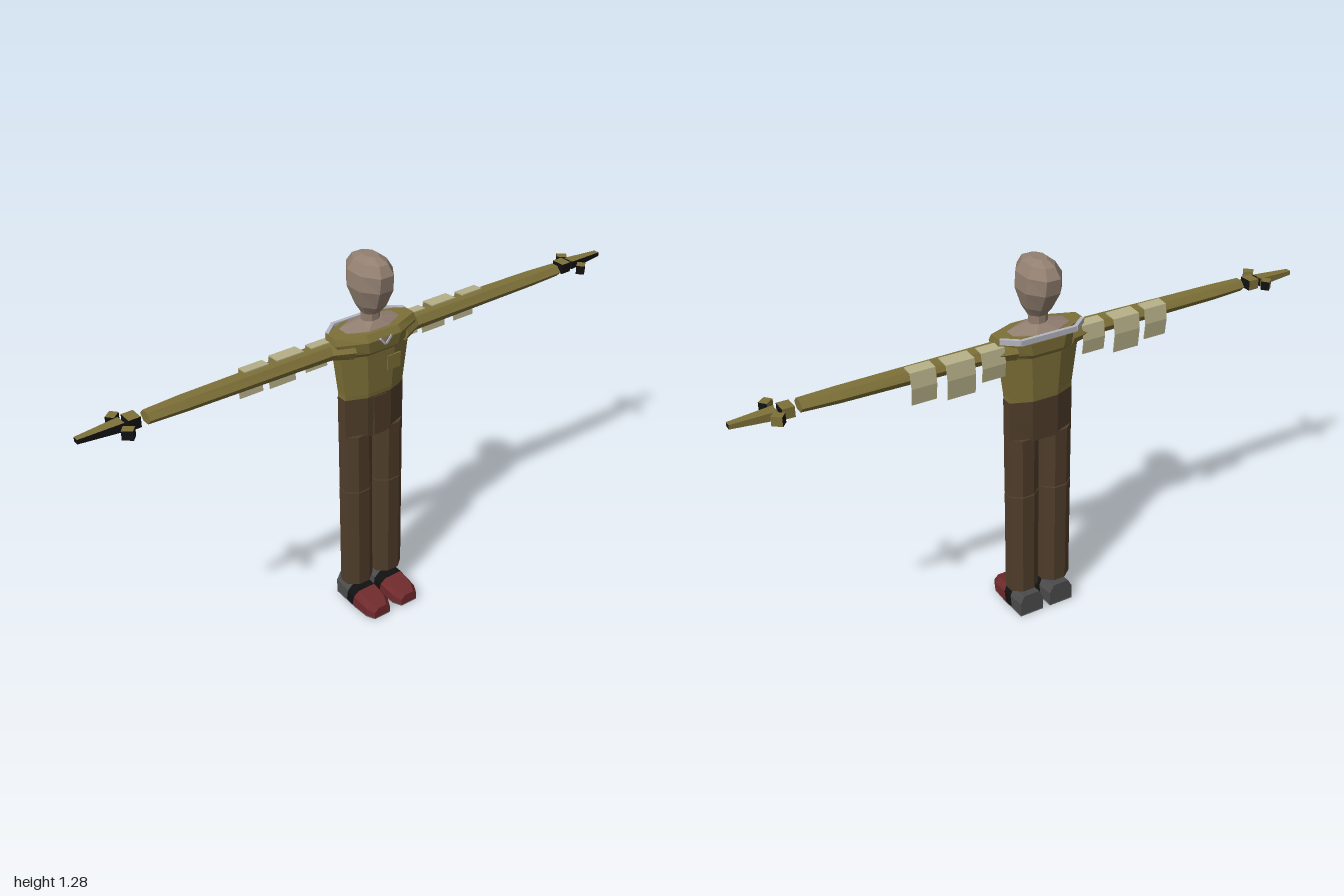
import * as THREE from 'three';

const mat = (name, color) => {
  const m = new THREE.MeshStandardMaterial({ color, side: THREE.DoubleSide, flatShading: true });
  m.name = name;
  return m;
};

// Faceted solid through matching rings of [x, y, z] points, capped at both ends
function loft(rings) {
  const n = rings[0].length, pts = rings.flat(), idx = [];
  for (let r = 0; r < rings.length - 1; r++) {
    for (let i = 0; i < n; i++) {
      const a = r * n + i, b = r * n + (i + 1) % n;
      idx.push(a, b, a + n, b, b + n, a + n);
    }
  }
  const last = (rings.length - 1) * n;
  for (let i = 1; i < n - 1; i++) idx.push(0, i + 1, i, last, last + i, last + i + 1);
  // The signed volume tells whether the winding must be flipped
  const v = pts.map(p => new THREE.Vector3(...p));
  let volume = 0;
  for (let i = 0; i < idx.length; i += 3) {
    volume += v[idx[i]].dot(v[idx[i + 1]].clone().cross(v[idx[i + 2]]));
  }
  if (volume < 0) idx.reverse();
  const g = new THREE.BufferGeometry();
  g.setAttribute('position', new THREE.Float32BufferAttribute(pts.flat(), 3));
  g.setIndex(idx);
  const flat = g.toNonIndexed();
  flat.computeVertexNormals();
  return flat;
}

// Horizontal eight-sided ring with chamfered corners
function ring(y, x0, x1, zFront, zBack, k = 0.3) {
  const cx = (x1 - x0) * k, cz = (zFront - zBack) * k;
  return [[x0 + cx, y, zFront], [x1 - cx, y, zFront], [x1, y, zFront - cz], [x1, y, zBack + cz],
    [x1 - cx, y, zBack], [x0 + cx, y, zBack], [x0, y, zBack + cz], [x0, y, zFront - cz]];
}

export function createModel() {
  const model = new THREE.Group();
  const skin = mat('skin', 0x927f70), olive = mat('olive cloth', 0x7d7038), brown = mat('brown cloth', 0x4f3d2a);
  const red = mat('red leather', 0x702a2c), grey = mat('grey leather', 0x4c4c4c), black = mat('black', 0x111111);
  const tan = mat('tan cloth', 0xb6b088), silver = mat('silver trim', 0xb4b5bf), sole = mat('sole grey', 0x707070);

  const add = (name, geometry, material, x = 0, y = 0, z = 0) => {
    const m = new THREE.Mesh(geometry, material);
    m.name = name;
    m.position.set(x, y, z);
    model.add(m);
    return m;
  };
  const box = (w, h, d) => new THREE.BoxGeometry(w, h, d);

  // Head and neck: half width, front and back at each height
  const sym = (y, w, f, b, k) => ring(y, -w, w, f, b, k);
  add('head', loft([sym(1.09, 0.03, 0.005, -0.05), sym(1.12, 0.046, 0.03, -0.075), sym(1.18, 0.064, 0.056, -0.11),
    sym(1.23, 0.06, 0.06, -0.116), sym(1.262, 0.042, 0.042, -0.095), sym(1.278, 0.022, 0.005, -0.06)]), skin);
  add('neck', loft([sym(1.03, 0.036, 0.008, -0.06), sym(1.06, 0.03, 0, -0.05), sym(1.12, 0.03, 0, -0.05)]), skin);
  add('neckBase', loft([sym(1.03, 0.115, 0.035, -0.086), sym(1.048, 0.1, 0.02, -0.08), sym(1.065, 0.035, 0.004, -0.055)]), skin);

  // Shirt, widening into the shoulder yoke
  add('shirt', loft([sym(0.8, 0.114, 0.021, -0.071), sym(0.83, 0.114, 0.025, -0.073), sym(0.97, 0.132, 0.03, -0.078),
    sym(0.985, 0.137, 0.045, -0.088), sym(1.025, 0.155, 0.05, -0.09), sym(1.046, 0.152, 0.035, -0.086)]), olive);
  add('chestPocket', box(0.05, 0.05, 0.006), olive, 0.05, 0.92, 0.03);
  const vNeck = new THREE.Shape([[-0.025, 0.03], [0, 0], [0.025, 0.03]].map(p => new THREE.Vector2(...p)));
  add('neckOpening', new THREE.ShapeGeometry(vNeck), skin, 0, 1.0, 0.052);

  // Silver collar trim across the back
  add('backTrim', box(0.2, 0.018, 0.012), silver, 0, 1.04, -0.089);

  // Hips
  add('hips', loft([sym(0.67, 0.115, 0.021, -0.071), sym(0.74, 0.115, 0.022, -0.072), sym(0.815, 0.115, 0.023, -0.073)]), brown);
  add('trouserFly', box(0.05, 0.14, 0.008), brown, 0, 0.742, 0.023);

  for (const s of [1, -1]) {
    const side = s > 0 ? 'left' : 'right';
    const mir = rings => loft(rings.map(r => r.map(([x, y, z]) => [x * s, y, z])));

    const tip = add(side + 'CollarTip', box(0.007, 0.03, 0.005), silver, s * 0.012, 1.018, 0.053);
    tip.rotation.z = -s * 0.7;
    const trim = add(side + 'ShoulderTrim', box(0.012, 0.018, 0.062), silver, s * 0.124, 1.04, -0.067);
    trim.rotation.y = s * 0.9;

    // Trouser leg, split at the knee seam
    const leg = (y0, y1) => mir([ring(y0, 0.008, 0.115, 0.02, -0.069), ring(y1, 0.008, 0.115, 0.02, -0.07)]);
    add(side + 'Thigh', leg(0.469, 0.68), brown);
    add(side + 'Shin', leg(0.088, 0.465), brown);

    // Shoe in three slices; top and bottom of each cut are offset for a slanted seam
    const cut = (zt, zb, h, x0, x1) => [[x0, 0.004, zb], [x1, 0.004, zb], [x1, h * 0.65, (zt + zb) / 2],
      [x1 - 0.015, h, zt], [x0 + 0.015, h, zt], [x0, h * 0.65, (zt + zb) / 2]];
    const heel = cut(-0.085, -0.085, 0.08, 0.014, 0.102), seamA = cut(-0.012, -0.026, 0.07, 0.012, 0.104);
    const seamB = cut(0.026, 0.01, 0.066, 0.01, 0.106);
    add(side + 'ShoeHeel', mir([heel, seamA]), grey);
    add(side + 'ShoeBand', mir([seamA, seamB]), black);
    add(side + 'ShoeToe', mir([seamB, cut(0.085, 0.085, 0.052, 0.012, 0.104), cut(0.115, 0.115, 0.04, 0.026, 0.09)]), red);
    const outline = (y) => [[0.014, y, -0.085], [0.102, y, -0.085], [0.106, y, 0.02], [0.104, y, 0.085],
      [0.09, y, 0.115], [0.026, y, 0.115], [0.012, y, 0.085], [0.01, y, 0.02]];
    add(side + 'ShoeSole', mir([outline(0), outline(0.004)]), sole);

    // Sleeve: six-sided tube running out to the wrist
    const hex = (x, hy, f, b) => [[x, 1 + hy, f - 0.016], [x, 1, f], [x, 1 - hy, f - 0.016],
      [x, 1 - hy, b + 0.016], [x, 1, b], [x, 1 + hy, b + 0.016]];
    add(side + 'Sleeve', mir([hex(0.1, 0.028, 0.04, -0.08), hex(0.165, 0.024, 0.01, -0.064),
      hex(0.67, 0.02, 0.007, -0.06), hex(0.79, 0.018, 0.004, -0.054)]), olive);

    // Hand: olive above and behind, black in front, silver below
    const glove = [black, black, olive, silver, black, olive];
    add(side + 'Cuff', box(0.038, 0.034, 0.046), glove, s * 0.83, 1, -0.032);
    const palm = box(0.14, 0.028, 0.04);
    const p = palm.attributes.position;
    for (let i = 0; i < p.count; i++) {
      if (p.getX(i) * s > 0) p.setXYZ(i, p.getX(i), p.getY(i) * 0.5, p.getZ(i) * 0.5);
    }
    palm.computeVertexNormals();
    add(side + 'Hand', palm, glove, s * 0.93, 1, -0.032);
    for (const [z, turn] of [[0.022, 0.7], [-0.072, -0.7]]) {
      const knob = add(side + 'HandKnob', box(0.034, 0.03, 0.028), glove, s * 0.868, 1, z);
      knob.rotation.y = s * turn;
    }

    // Cloth flaps draped over the back of the sleeve: inner end, outer end, hem, back
    for (const [x0, x1, hem, back] of [[0.14, 0.22, 0.928, -0.07], [0.25, 0.345, 0.91, -0.082], [0.375, 0.458, 0.92, -0.072]]) {
      const profile = [[1.029, -0.025], [1.025, back + 0.008], [0.975, back], [hem, back + 0.006],
        [hem, back + 0.009], [0.975, back + 0.003], [1.022, back + 0.011], [1.025, -0.025]];
      // Profile points run over the top, down the back and up the inside
      const strip = (a, b) => mir([x0, x1].map(x => [profile[a], profile[b], profile[7 - b], profile[7 - a]]
        .map(([y, z]) => [x, y, z])));
      for (let i = 0; i < 3; i++) add(side + 'SleeveFlap', strip(i, i + 1), tan);
    }
  }
  return model;
}
